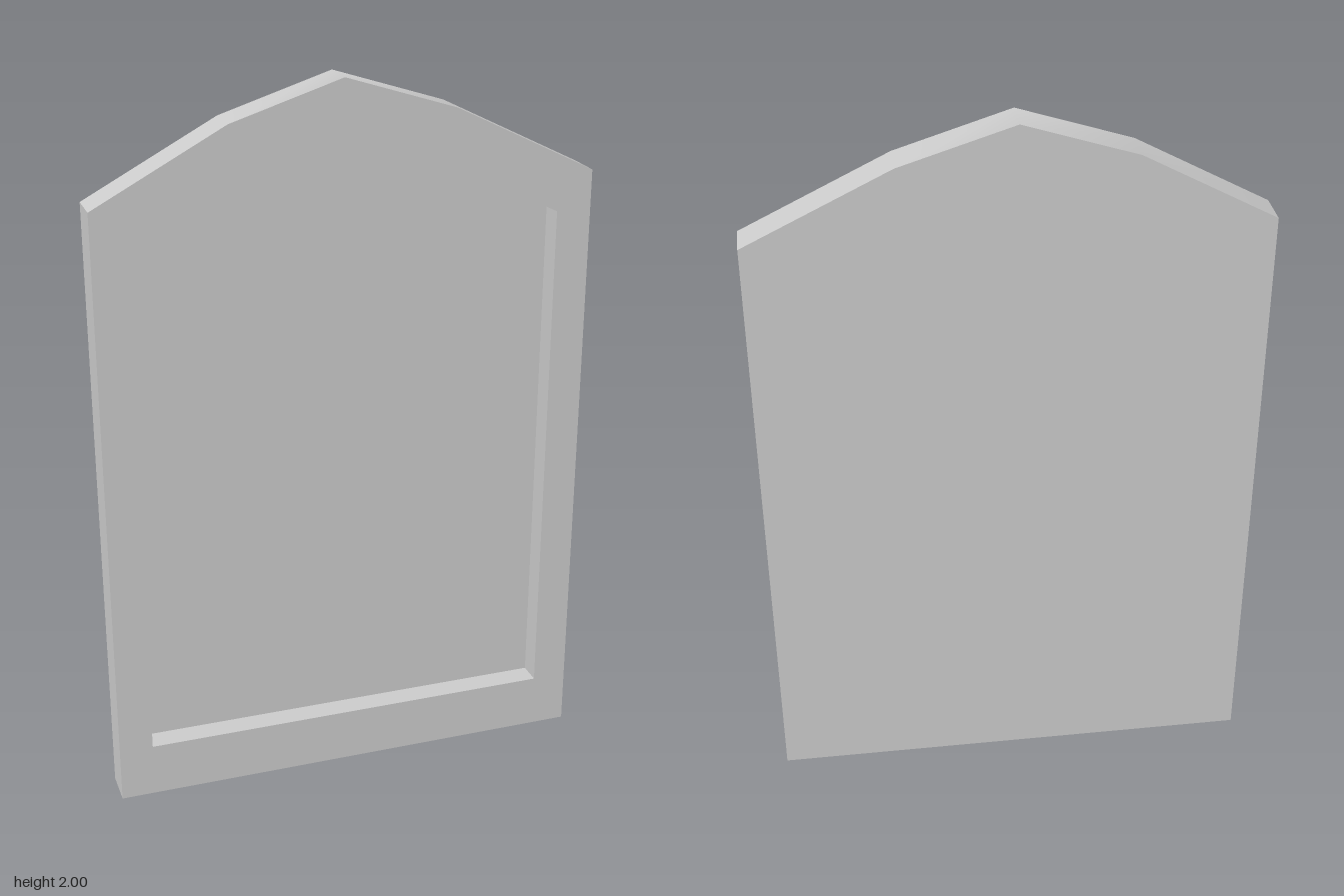
import * as THREE from 'three';
import { toCreasedNormals } from 'three/addons/utils/BufferGeometryUtils.js';

const FRONT = 0.053, BACK = -0.053, RECESS = -0.014;

// Outlines run counter-clockwise seen from the front
const outer = [[-0.682, 0], [0.682, 0], [0.682, 1.71], [0.29, 1.903], [-0.017, 2], [-0.322, 1.903], [-0.682, 1.71]];
const inner = [[-0.588, 0.153], [0.584, 0.153], [0.584, 1.603], [0.252, 1.767], [-0.017, 1.847], [-0.276, 1.767], [-0.588, 1.603]];

const toVectors = (pts) => pts.map(([x, y]) => new THREE.Vector2(x, y));

// Band of wall quads along a closed outline, smooth over the shallow arch bends
function wall(pts, z0, z1) {
  const pos = [];
  pts.forEach(([ax, ay], i) => {
    const [bx, by] = pts[(i + 1) % pts.length];
    pos.push(ax, ay, z0, bx, by, z0, bx, by, z1, ax, ay, z0, bx, by, z1, ax, ay, z1);
  });
  const geo = new THREE.BufferGeometry();
  geo.setAttribute('position', new THREE.Float32BufferAttribute(pos, 3));
  return toCreasedNormals(geo, 0.8);
}

export function createModel() {
  const group = new THREE.Group();
  group.name = 'archedPanel';
  const material = new THREE.MeshStandardMaterial({ color: 0xcccccc });
  const add = (name, geo) => {
    const mesh = new THREE.Mesh(geo, material);
    mesh.name = name;
    group.add(mesh);
  };

  // Front face of the border, with the recess cut out
  const border = new THREE.Shape(toVectors(outer));
  border.holes.push(new THREE.Path(toVectors(inner)));
  add('frameFront', new THREE.ShapeGeometry(border).translate(0, 0, FRONT));

  // Outer rim and the inward-facing recess rim
  add('frameEdge', wall(outer, BACK, FRONT));
  add('recessEdge', wall([...inner].reverse(), RECESS, FRONT));

  // Sunken panel
  add('recessPanel', new THREE.ShapeGeometry(new THREE.Shape(toVectors(inner))).translate(0, 0, RECESS));

  // Flat back, mirrored then turned to face backwards
  const mirrored = outer.map(([x, y]) => [-x, y]);
  add('backPanel', new THREE.ShapeGeometry(new THREE.Shape(toVectors(mirrored))).rotateY(Math.PI).translate(0, 0, BACK));

  return group;
}
